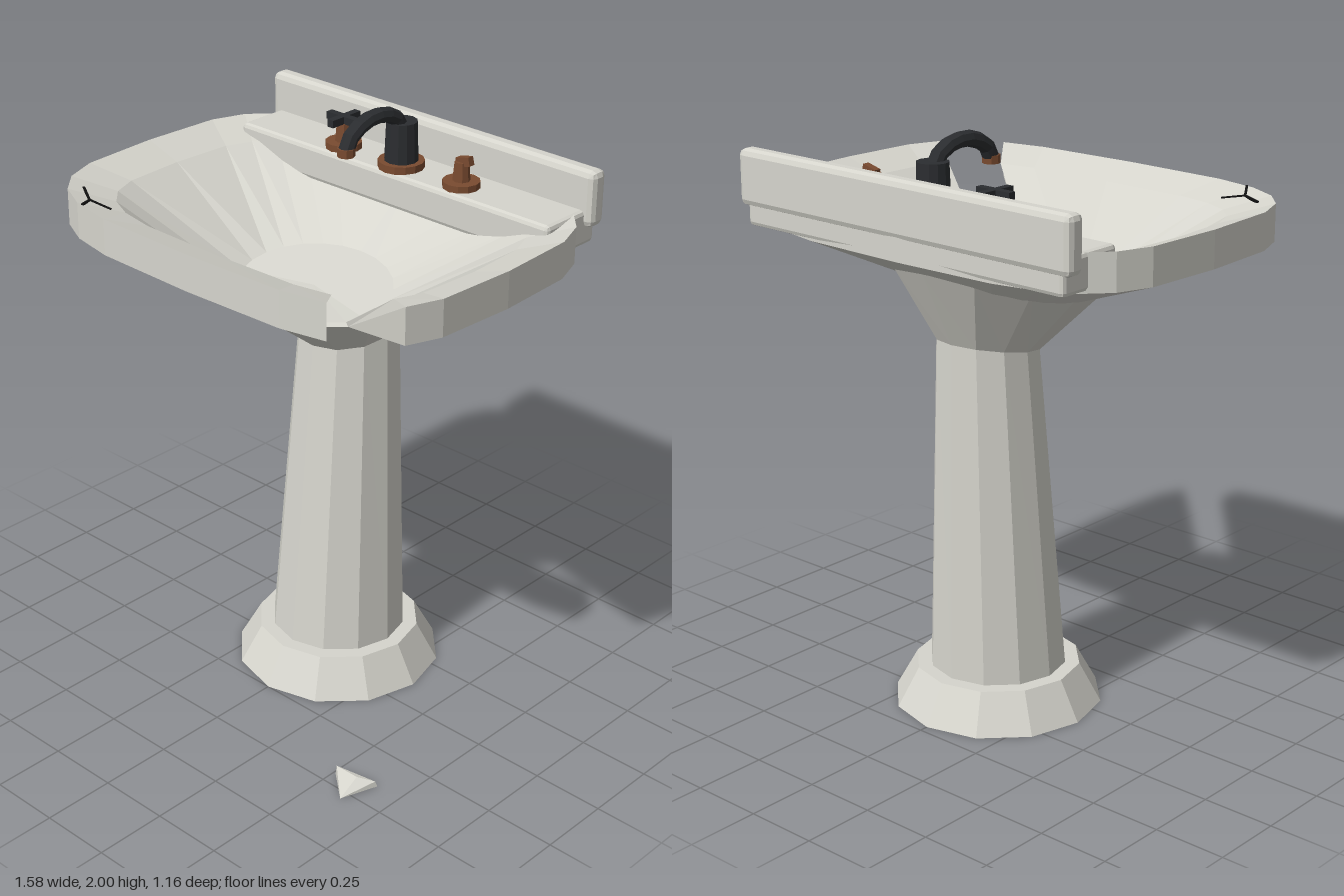
import * as THREE from 'three';
import { RoundedBoxGeometry } from 'three/addons/geometries/RoundedBoxGeometry.js';
import { ConvexGeometry } from 'three/addons/geometries/ConvexGeometry.js';

const mat = (name, color) => {
  const m = new THREE.MeshStandardMaterial({ color, flatShading: true });
  m.name = name;
  return m;
};
const V = (x, y, z) => new THREE.Vector3(x, y, z);

export function createModel() {
  const ceramic = mat('ceramic', 0xd6d5cd);
  const iron = mat('dark iron', 0x2b2d30);
  const copper = mat('tarnished copper', 0x7a4b30);
  const black = mat('crack black', 0x101010);

  const model = new THREE.Group();
  model.name = 'brokenPedestalSink';
  const add = (name, geometry, material, x = 0, y = 0, z = 0, parent = model) => {
    const mesh = new THREE.Mesh(geometry, material);
    mesh.name = name;
    mesh.position.set(x, y, z);
    parent.add(mesh);
    return mesh;
  };

  // Flat-faced geometry from a list of polygons, each split as a fan
  const fromPolygons = (polys) => {
    const pts = [];
    for (const p of polys)
      for (let i = 1; i < p.length - 1; i++) pts.push(p[0], p[i], p[i + 1]);
    const g = new THREE.BufferGeometry().setFromPoints(pts);
    g.computeVertexNormals();
    return g;
  };
  // Quads joining two rings, facing out when b lies above a
  const band = (a, b, skip = () => false) => {
    const polys = [];
    for (let j = 0; j < a.length; j++) {
      const k = (j + 1) % a.length;
      if (!skip(j)) polys.push([a[j], b[j], b[k], a[k]]);
    }
    return polys;
  };

  // Pedestal: twelve-sided rings, tilted toward the top
  const ring = (y, r, cz, rz = r, tilt = 0) => Array.from({ length: 12 }, (_, i) => {
    const a = i * Math.PI / 6, dz = rz * Math.sin(a);
    return V(r * Math.cos(a), y - tilt * dz, cz + dz);
  });
  const foot = ring(0, 0.36, -0.11), step = ring(0.135, 0.285, -0.11);
  const shaftLow = ring(0.135, 0.235, -0.11);
  const shaftTop = ring(1.28, 0.172, -0.155, 0.175, 0.17);
  const neckTop = ring(1.497, 0.355, -0.11, 0.35, 0.212);
  add('pedestalBase', fromPolygons([foot, ...band(foot, step), ...band(step, shaftLow)]), ceramic);
  add('pedestalColumn', fromPolygons(band(shaftLow, shaftTop)), ceramic);
  add('pedestalNeck', fromPolygons(band(shaftTop, neckTop)), ceramic);

  // Basin: squared oval rings with two sectors broken out of the front corner
  const N = 24;
  const pow = (v, e) => Math.sign(v) * Math.pow(Math.abs(v), e);
  const oval = (rx, rz, e, y, cz = 0) => Array.from({ length: N }, (_, i) => {
    const a = i * 2 * Math.PI / N;
    const z = cz + rz * pow(Math.sin(a), e);
    return V(rx * pow(Math.cos(a), e), typeof y === 'function' ? y(z) : y, z);
  });
  const floorY = (z) => Math.max(1.455, 1.446 + 0.212 * (0.13 - z));
  const shell = [
    oval(0.3, 0.235, 1, 1.445, 0.015),
    oval(0.79, 0.58, 0.53, 1.635),
    oval(0.79, 0.58, 0.53, 1.76),
    oval(0.655, 0.45, 0.53, 1.715),
    oval(0.285, 0.225, 1, floorY, 0.015),
  ];
  const inGap = (j) => j === 2 || j === 3;
  const basin = [];
  for (let i = 0; i < 4; i++) basin.push(...band(shell[i], shell[i + 1], inGap));
  basin.push(...band(shell[0], shell[4], (j) => !inGap(j)));
  basin.push(shell.map((r) => r[2]), shell.map((r) => r[4]).reverse());
  const middle = V(0, 1.47, 0.015), floor = shell[4];
  for (let j = 0; j < N; j++) basin.push([middle, floor[(j + 1) % N], floor[j]]);
  add('basin', fromPolygons(basin), ceramic);
  add('drain', new THREE.CylinderGeometry(0.03, 0.03, 0.02, 12), black, 0, 1.456, 0.062);

  // Tap shelf and backsplash
  add('tapShelf', new RoundedBoxGeometry(1.35, 0.122, 0.245, 1, 0.015), ceramic, 0, 1.701, -0.4525);
  add('backsplash', new RoundedBoxGeometry(1.41, 0.19, 0.07, 1, 0.022), ceramic, 0, 1.8, -0.55);

  // Faucet with a hooked spout
  const zTap = -0.405;
  const cyl = (r, h, n = 12, r2 = r) => new THREE.CylinderGeometry(r2, r, h, n);
  const faucet = new THREE.Group();
  faucet.name = 'faucet';
  model.add(faucet);
  add('faucetFlange', cyl(0.079, 0.026, 14), copper, 0, 1.774, zTap, faucet);
  add('faucetBody', cyl(0.058, 0.14, 12, 0.053), iron, 0, 1.853, zTap, faucet);
  const spout = new THREE.CatmullRomCurve3([
    V(0, 1.9, -0.4), V(0, 1.945, -0.37), V(0, 1.971, -0.29),
    V(0, 1.965, -0.22), V(0, 1.93, -0.155), V(0, 1.89, -0.135),
  ]);
  add('spout', new THREE.TubeGeometry(spout, 7, 0.027, 8), iron, 0, 0, 0, faucet);
  add('spoutTip', cyl(0.03, 0.028, 8), copper, 0, 1.888, -0.135, faucet);

  // Handles: one whole cross, one snapped to a stub
  for (const side of [-1, 1]) {
    const handle = new THREE.Group();
    handle.name = side < 0 ? 'rightHandle' : 'leftBrokenHandle';
    handle.position.set(side * 0.26, 0, zTap);
    model.add(handle);
    add('handleFlange', cyl(0.063, 0.024), copper, 0, 1.773, 0, handle);
    add('handleStem', cyl(0.03, 0.07, 8, 0.024), copper, 0, 1.815, 0, handle);
    if (side < 0) {
      add('crossBar', new THREE.BoxGeometry(0.135, 0.026, 0.026), iron, 0, 1.862, 0, handle);
      add('crossBar', new THREE.BoxGeometry(0.026, 0.026, 0.135), iron, 0, 1.862, 0, handle);
    } else {
      const stub = add('handleStub', new THREE.BoxGeometry(0.055, 0.03, 0.024), copper, 0.012, 1.853, 0, handle);
      stub.rotation.z = 0.25;
    }
  }

  // Hairline crack lying on the sloped rim
  const onRim = (x, z) => {
    const s = Math.pow(Math.pow(Math.abs(x) / 0.79, 3.77) + Math.pow(Math.abs(z) / 0.58, 3.77), 1 / 3.77);
    return V(x, 1.762 - (1 - s) * 0.23, z);
  };
  const fork = onRim(-0.56, 0.475);
  for (const end of [onRim(-0.65, 0.42), onRim(-0.48, 0.455), onRim(-0.52, 0.54)]) {
    const strip = add('rimCrack', new THREE.BoxGeometry(0.008, 0.008, fork.distanceTo(end)), black);
    strip.position.copy(fork).lerp(end, 0.5);
    strip.lookAt(end);
  }

  // Broken shard on the ground
  add('shard', new ConvexGeometry([
    V(0.51, 0, 0.45), V(0.655, 0, 0.405), V(0.61, 0, 0.535),
    V(0.515, 0.036, 0.45), V(0.6, 0.032, 0.445), V(0.65, 0.02, 0.41),
  ]), ceramic);

  return model;
}
